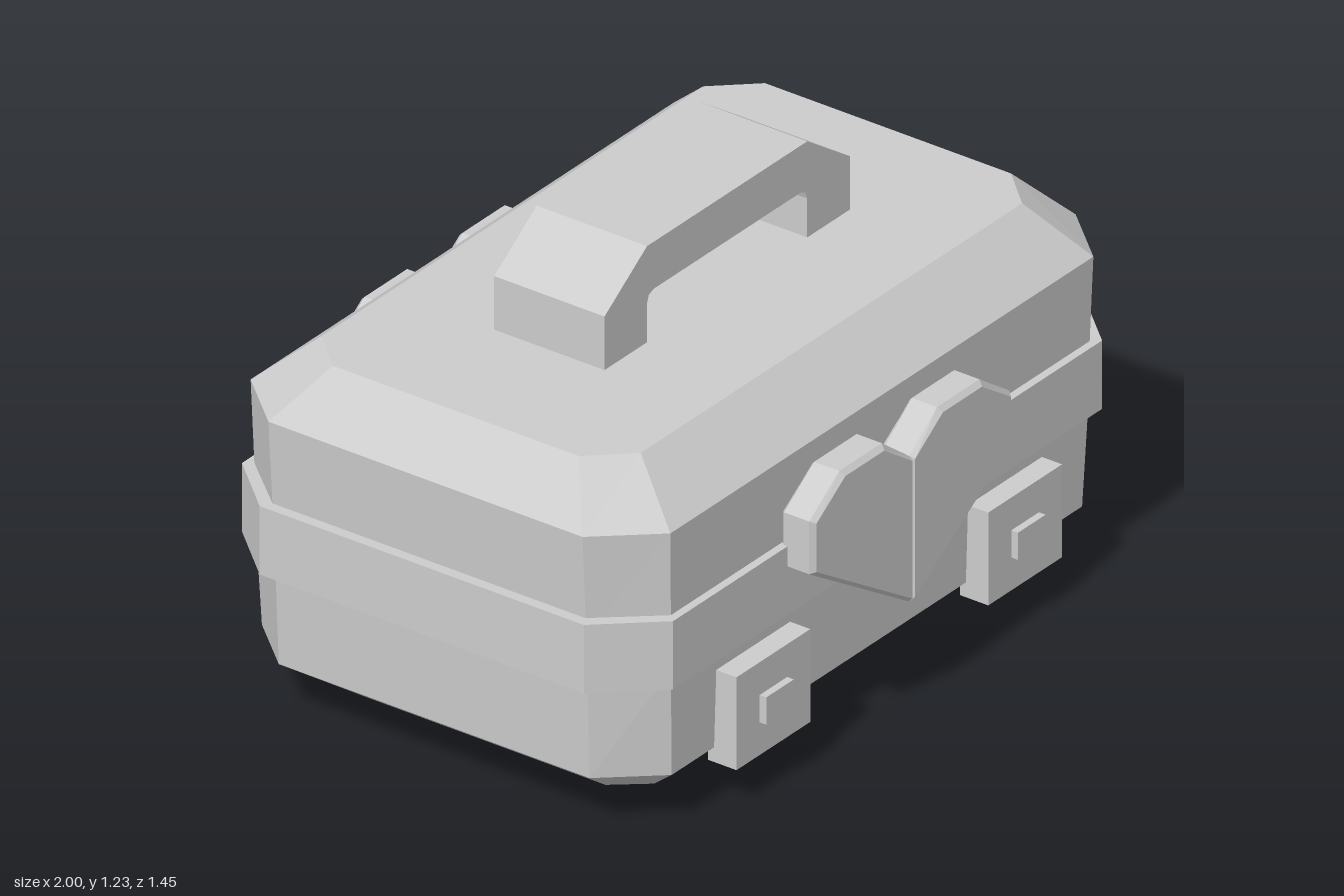
import * as THREE from 'three';

// Closed solid through rings of [x, y, z] points, each counter-clockwise seen from the last ring's side
function loft(rings) {
  const pos = [];
  const n = rings[0].length;
  const tri = (a, b, c) => pos.push(...a, ...b, ...c);
  for (let r = 0; r < rings.length - 1; r++) {
    for (let i = 0; i < n; i++) {
      const j = (i + 1) % n;
      const [a, b, c, d] = [rings[r][i], rings[r][j], rings[r + 1][j], rings[r + 1][i]];
      tri(a, b, c);
      tri(a, c, d);
    }
  }
  const first = rings[0], last = rings[rings.length - 1];
  for (let i = 1; i < n - 1; i++) {
    tri(first[0], first[i + 1], first[i]);
    tri(last[0], last[i], last[i + 1]);
  }
  const g = new THREE.BufferGeometry();
  g.setAttribute('position', new THREE.Float32BufferAttribute(pos, 3));
  g.computeVertexNormals();
  return g;
}

// Rectangle with cut corners: half sizes hx, hz and flat lengths fx, fz
function octagon(y, hx, hz, fx, fz) {
  return [[fx, hz], [hx, fz], [hx, -fz], [fx, -hz], [-fx, -hz], [-hx, -fz], [-hx, fz], [-fx, hz]]
    .map(([x, z]) => [x, y, z]);
}

export function createModel() {
  const grey = new THREE.MeshStandardMaterial({ color: 0xcccccc });
  grey.name = 'grey';
  const model = new THREE.Group();
  model.name = 'lunchBox';

  const add = (parent, name, geometry) => {
    const mesh = new THREE.Mesh(geometry, grey);
    mesh.name = name;
    parent.add(mesh);
    return mesh;
  };

  // Case: tapered base, raised rim band and chamfered lid
  add(model, 'base', loft([
    octagon(0, 0.74, 0.445, 0.665, 0.355),
    octagon(0.15, 0.95, 0.613, 0.82, 0.465),
    octagon(0.45, 0.963, 0.622, 0.835, 0.467),
  ]));
  add(model, 'rimBand', loft([
    octagon(0.412, 1, 0.645, 0.857, 0.485),
    octagon(0.6, 1, 0.645, 0.857, 0.485),
  ]));
  add(model, 'lid', loft([
    octagon(0.55, 0.968, 0.622, 0.835, 0.468),
    octagon(0.83, 0.985, 0.628, 0.845, 0.47),
    octagon(0.963, 0.863, 0.477, 0.762, 0.368),
  ]));

  // Arched carrying handle
  const arch = new THREE.Shape([
    [-0.49, 0.955], [-0.32, 0.955], [-0.32, 1.07], [-0.313, 1.09], [-0.293, 1.098],
    [0.293, 1.098], [0.313, 1.09], [0.32, 1.07], [0.32, 0.955], [0.49, 0.955],
    [0.49, 1.11], [0.32, 1.227], [-0.32, 1.227], [-0.49, 1.11],
  ].map(([x, y]) => new THREE.Vector2(x, y)));
  const handle = new THREE.ExtrudeGeometry(arch, { depth: 0.33, bevelEnabled: false });
  handle.translate(0, 0, -0.165);
  add(model, 'handle', handle);

  // Half heart outline and its inset chamfer outline
  const outer = [[0, 0.29], [0.4, 0.545], [0.4, 0.69], [0.28, 0.775], [0.11, 0.775], [0, 0.69]];
  const inset = [[0.005, 0.305], [0.388, 0.55], [0.388, 0.683], [0.273, 0.762], [0.117, 0.762], [0.005, 0.683]];

  // Same ornament and latches on the front and the back
  for (const side of ['front', 'back']) {
    const trim = new THREE.Group();
    trim.name = side + 'Trim';
    if (side === 'back') trim.rotation.y = Math.PI;
    model.add(trim);

    for (const s of [1, -1]) {
      const ring = (pts, z) => {
        const r = pts.map(([x, y]) => [s * x, y, z]);
        return s > 0 ? r : r.reverse();
      };
      add(trim, 'heartHalf', loft([
        ring(inset, 0.622), ring(outer, 0.635), ring(outer, 0.71), ring(inset, 0.723),
      ]));
      add(trim, 'latchPlate', new THREE.BoxGeometry(0.295, 0.255, 0.085))
        .position.set(s * 0.503, 0.237, 0.6375);
      add(trim, 'latchButton', new THREE.BoxGeometry(0.11, 0.075, 0.04))
        .position.set(s * 0.503, 0.237, 0.68);
    }
  }
  return model;
}
